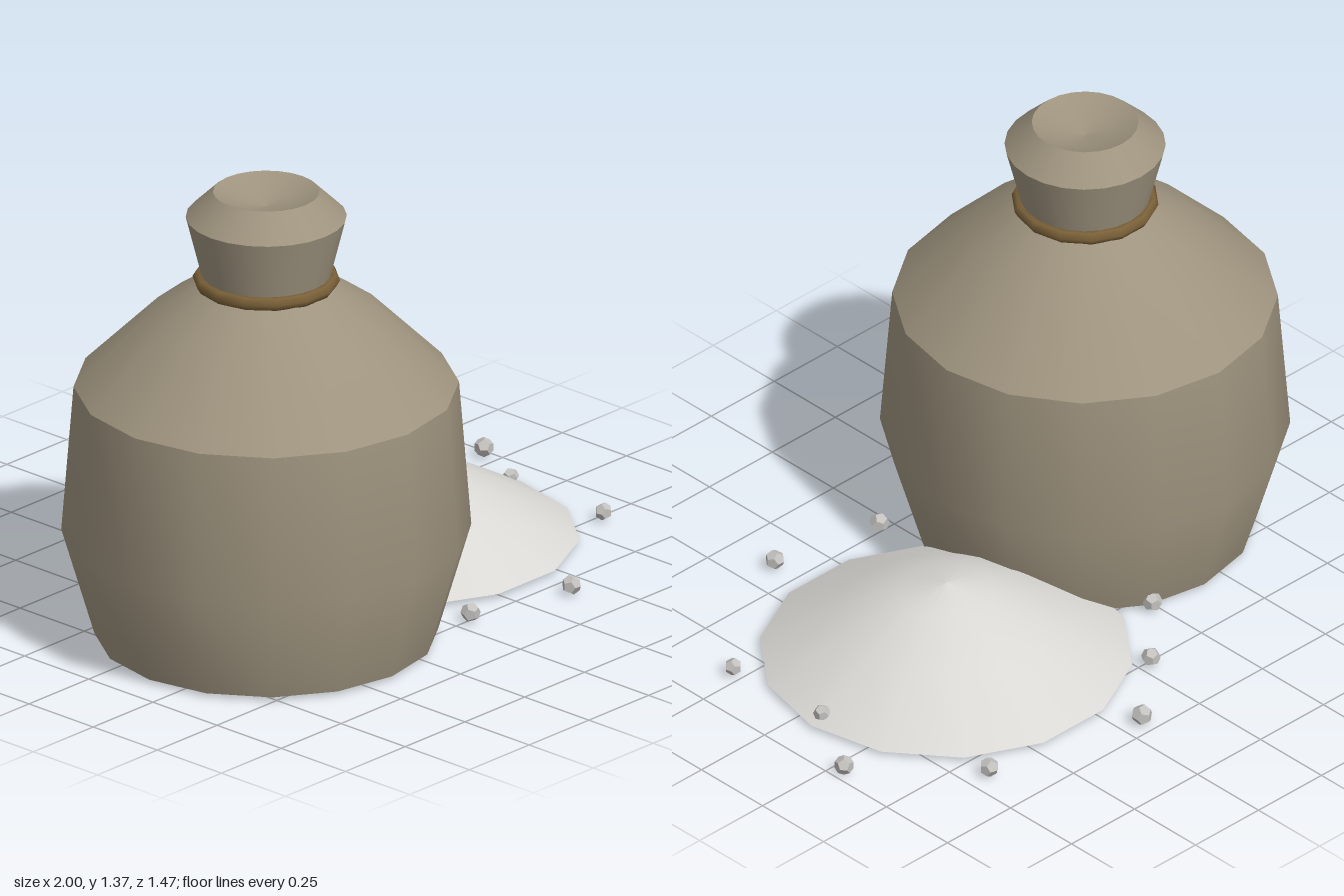
import * as THREE from 'three';

const material = (name, color) => new THREE.MeshStandardMaterial({ name, color });

export function createModel() {
  const cloth = material('sackcloth', 0x9e937e);
  const rope = material('rope', 0x7a6038);
  const powder = material('powder', 0xd9d8d4);
  const grainGrey = material('grain grey', 0xc2c0bd);
  const model = new THREE.Group();
  model.name = 'sackAndPile';

  // Each turned section is its own lathe, so edges between sections stay sharp
  function turned(name, parent, mat, sides, points) {
    const profile = points.map(([r, y]) => new THREE.Vector2(r, y));
    const mesh = new THREE.Mesh(new THREE.LatheGeometry(profile, sides), mat);
    mesh.name = name;
    parent.add(mesh);
    return mesh;
  }

  // Sack
  const sack = new THREE.Group();
  sack.name = 'sack';
  sack.position.set(-0.415, 0, 0.147);
  model.add(sack);
  turned('sackBase', sack, cloth, 16, [[0, 0.016], [0.49, 0.016]]);
  turned('sackBody', sack, cloth, 16, [[0.49, 0.016], [0.585, 0.34], [0.55, 0.78]]);
  turned('sackShoulder', sack, cloth, 16, [[0.55, 0.78], [0.33, 1.0], [0.19, 1.095]]);
  turned('sackNeck', sack, cloth, 24, [[0.175, 1.08], [0.23, 1.3]]);
  turned('sackLip', sack, cloth, 24, [[0.23, 1.3], [0.152, 1.376]]);
  turned('sackMouth', sack, cloth, 24, [[0.152, 1.376], [0.08, 1.345], [0, 1.33]]);

  // Rope tie around the neck
  const tie = new THREE.Mesh(new THREE.TorusGeometry(0.19, 0.021, 6, 14), rope);
  tie.name = 'ropeTie';
  tie.rotation.x = Math.PI / 2;
  tie.position.y = 1.107;
  sack.add(tie);

  // Spilled pile
  const pile = new THREE.Group();
  pile.name = 'pile';
  pile.position.set(0.35, 0, -0.073);
  pile.rotation.y = Math.PI / 2;
  model.add(pile);
  turned('pileBase', pile, powder, 14, [[0, 0.018], [0.535, 0.018]]);
  turned('pileMound', pile, powder, 14,
    [[0.535, 0.018], [0.31, 0.147], [0.14, 0.229], [0, 0.256]]);

  // Scattered grains: x, z, radius
  const grains = [
    [0.185, -0.705, 0.031], [0.68, -0.59, 0.029], [-0.035, -0.515, 0.028],
    [0.97, -0.295, 0.029], [0.845, -0.075, 0.025], [0.855, 0.278, 0.026],
    [0.397, 0.58, 0.029], [0.053, 0.507, 0.029], [-0.28, 0.045, 0.029],
    [-0.23, -0.32, 0.029],
  ];
  grains.forEach(([x, z, r], i) => {
    const grain = new THREE.Mesh(new THREE.DodecahedronGeometry(r), grainGrey);
    grain.name = `grain${i + 1}`;
    grain.position.set(x, i === 4 ? 0.045 : 0.034, z);
    grain.rotation.y = i * 1.3;
    model.add(grain);
  });

  return model;
}
